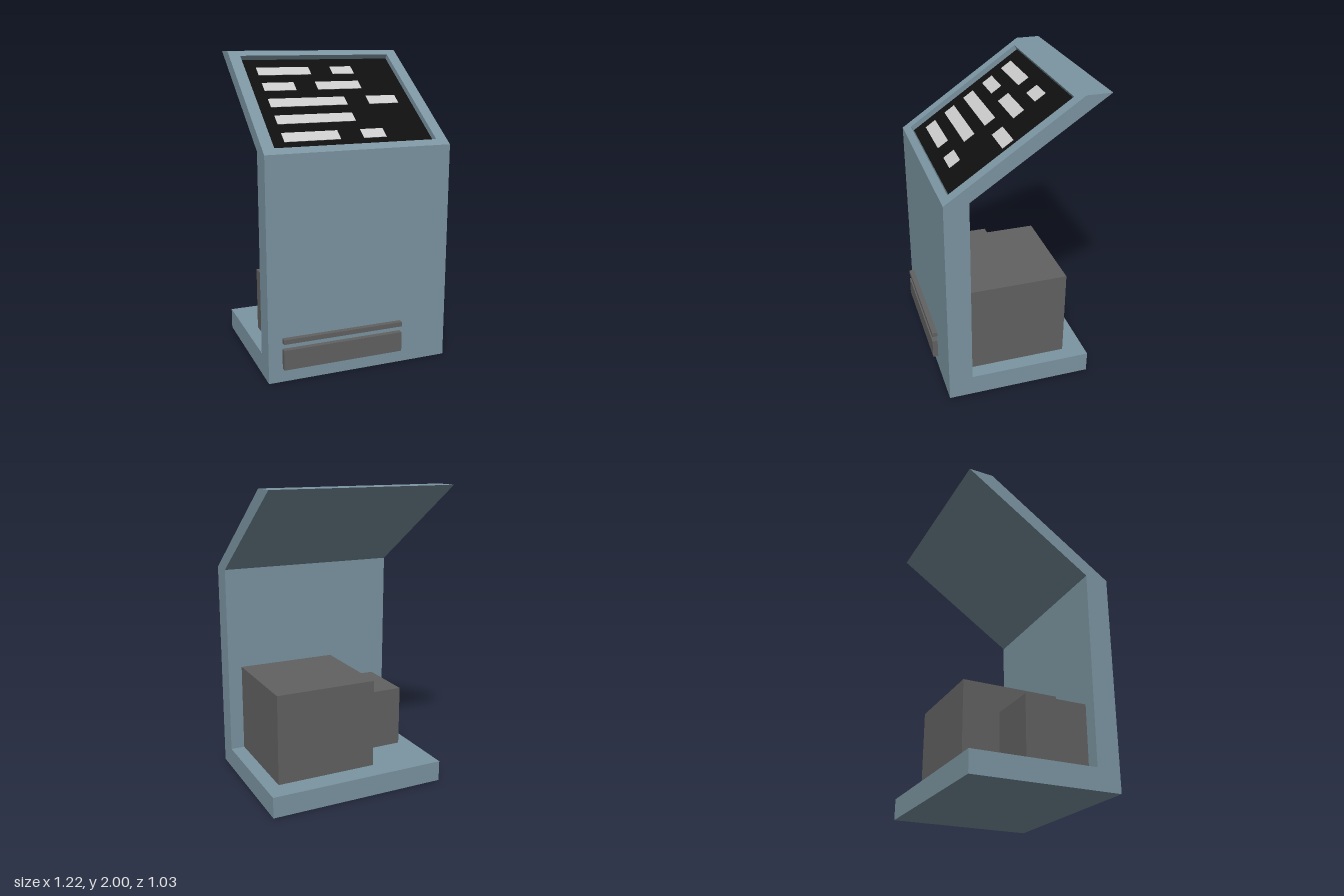
import * as THREE from 'three';

const paint = (color) => new THREE.MeshStandardMaterial({ color, flatShading: true });

export function createModel() {
  const kiosk = new THREE.Group();
  kiosk.name = 'kiosk';
  const shell = paint(0x7b95a1);
  const grey = paint(0x616161);
  const black = paint(0x0f0f0f);
  const light = paint(0xcccccc);

  // Box given by its lower and upper limits on each axis
  const box = (name, material, [x0, x1], [y0, y1], [z0, z1], parent = kiosk) => {
    const mesh = new THREE.Mesh(new THREE.BoxGeometry(x1 - x0, y1 - y0, z1 - z0), material);
    mesh.position.set((x0 + x1) / 2, (y0 + y1) / 2, (z0 + z1) / 2);
    mesh.name = name;
    parent.add(mesh);
  };

  // Side profile as [z, y]; the sloped face runs from foot to head
  const foot = new THREE.Vector2(0.48, 1.43);
  const head = new THREE.Vector2(-0.355, 2);
  const along = head.clone().sub(foot).normalize();
  const normal = new THREE.Vector2(along.y, -along.x);
  const onSlope = (s, t) => foot.clone().addScaledVector(along, s).addScaledVector(normal, t);
  const recess = { start: 0.055, end: 0.96, depth: 0.035 };
  const floor = -recess.depth - 0.002;
  const notch = [
    onSlope(recess.start, 0), onSlope(recess.start, floor),
    onSlope(recess.end, floor), onSlope(recess.end, 0),
  ];
  const profile = (slopePoints) => new THREE.Shape([
    new THREE.Vector2(-0.485, 0), new THREE.Vector2(0.48, 0), foot,
    ...slopePoints, head,
    new THREE.Vector2(-0.515, 2), new THREE.Vector2(0.325, 1.43),
    new THREE.Vector2(0.325, 0.14), new THREE.Vector2(-0.485, 0.14),
  ]);

  // Shell slices: a notched middle and two plain sides frame the screen recess
  const slice = (name, shape, x0, x1) => {
    const geometry = new THREE.ExtrudeGeometry(shape, { depth: x1 - x0, bevelEnabled: false });
    geometry.rotateY(-Math.PI / 2).translate(x1, 0, 0);
    const mesh = new THREE.Mesh(geometry, shell);
    mesh.name = name;
    kiosk.add(mesh);
  };
  slice('shellMiddle', profile(notch), -0.535, 0.535);
  slice('shellRight', profile([]), -0.61, -0.535);
  slice('shellLeft', profile([]), 0.535, 0.61);

  // Tilted screen lying in the recess
  const screen = new THREE.Group();
  const origin = onSlope(0, -recess.depth);
  screen.name = 'screen';
  screen.position.set(0, origin.y, origin.x);
  screen.rotation.x = -Math.atan2(normal.y, normal.x);
  kiosk.add(screen);
  box('display', black, [-0.535, 0.535], [recess.start, recess.end], [-0.004, 0], screen);

  // Rows of light bars, bottom row first
  const rows = [
    [[-0.445, -0.08], [0.075, 0.23]],
    [[-0.445, 0.075]],
    [[-0.445, 0.075], [0.23, 0.44]],
    [[-0.445, -0.23], [-0.08, 0.23]],
    [[-0.445, -0.08], [0.075, 0.23]],
  ];
  rows.forEach((row, i) => {
    const s = 0.179 + i * 0.163;
    row.forEach((span) => box('screenBar', light, span, [s - 0.041, s + 0.041], [-0.002, 0.003], screen));
  });

  // Slot and tray low on the front
  box('tray', grey, [-0.52, 0.28], [0.09, 0.22], [0.48, 0.515]);
  box('slot', grey, [-0.52, 0.28], [0.26, 0.29], [0.48, 0.515]);

  // Equipment cabinets standing on the base behind the front panel
  box('largeCabinet', grey, [-0.17, 0.515], [0.14, 0.74], [-0.34, 0.325]);
  box('smallCabinet', grey, [-0.52, -0.17], [0.14, 0.56], [-0.09, 0.325]);

  return kiosk;
}
